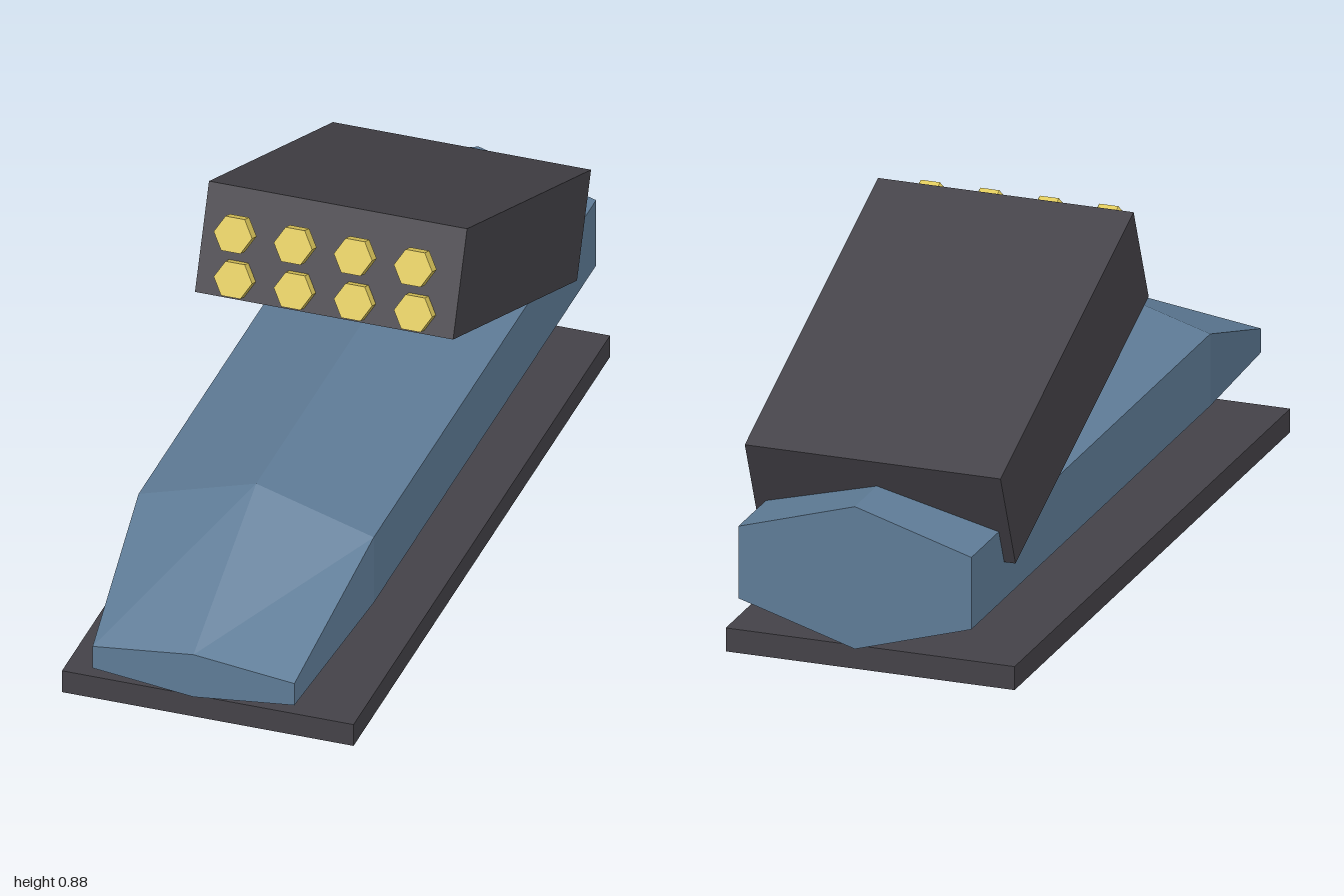
import * as THREE from 'three';

const mat = (name, color) => {
  const m = new THREE.MeshStandardMaterial({ color });
  m.name = name;
  return m;
};

// Six-sided section, counter-clockwise seen from the front
const section = (z, w, top, shoulder, chine, keel) => [
  [0, top, z], [-w, shoulder, z], [-w, chine, z],
  [0, keel, z], [w, chine, z], [w, shoulder, z],
];

// Joins sections listed from back to front and caps both ends
function loft(sections) {
  const pos = [];
  const tri = (...points) => points.forEach((p) => pos.push(...p));
  for (let s = 0; s < sections.length - 1; s++) {
    const back = sections[s], front = sections[s + 1], n = back.length;
    for (let i = 0; i < n; i++) {
      const j = (i + 1) % n;
      tri(back[i], back[j], front[j]);
      tri(back[i], front[j], front[i]);
    }
  }
  const first = sections[0], last = sections[sections.length - 1];
  for (let i = 1; i < first.length - 1; i++) {
    tri(first[0], first[i + 1], first[i]);
    tri(last[0], last[i], last[i + 1]);
  }
  const geo = new THREE.BufferGeometry();
  geo.setAttribute('position', new THREE.Float32BufferAttribute(pos, 3));
  geo.computeVertexNormals();
  return geo;
}

export function createModel() {
  const model = new THREE.Group();
  model.name = 'hoverLauncher';
  const blue = mat('hull blue', 0x5f7c97);
  const dark = mat('dark grey', 0x444248);
  const gold = mat('warhead yellow', 0xdfc95b);
  const cyan = mat('glow cyan', 0x7dc4d5);

  const add = (name, geo, material, x, y, z, tilt = 0) => {
    const mesh = new THREE.Mesh(geo, material);
    mesh.name = name;
    mesh.position.set(x, y, z);
    mesh.rotation.x = tilt;
    model.add(mesh);
  };

  // Hull with tapered nose
  add('hull', loft([
    section(-1, 0.288, 0.455, 0.368, 0.19, 0.103),
    section(0.56, 0.288, 0.455, 0.368, 0.19, 0.103),
    section(1, 0.247, 0.248, 0.22, 0.161, 0.133),
  ]), blue, 0, 0, 0);

  // Hover skirt and the glowing panel under it
  add('skirt', new THREE.BoxGeometry(0.714, 0.058, 1.8), dark, 0, 0.043, 0);
  add('glowPanel', new THREE.BoxGeometry(0.554, 0.014, 1.6), cyan, 0, 0.007, 0);

  // Tilted launcher box
  const tilt = -0.384;
  add('launcherBox', new THREE.BoxGeometry(0.632, 0.263, 0.938), dark, 0, 0.5785, -0.4, tilt);

  // Two rows of hexagonal warheads, corners pointing sideways
  const hex = new THREE.CylinderGeometry(0.047, 0.047, 0.034, 6).toNonIndexed();
  hex.rotateY(Math.PI / 6).rotateX(Math.PI / 2);
  hex.computeVertexNormals();
  for (let x = 0; x < 4; x++) {
    // CylinderGeometry starts at +z, so a 30 degree turn puts corners on the x axis
    for (const y of [0.805, 0.682]) add('warhead', hex, gold, (x - 1.5) * 0.147, y, 0.076, tilt);
  }
  return model;
}
